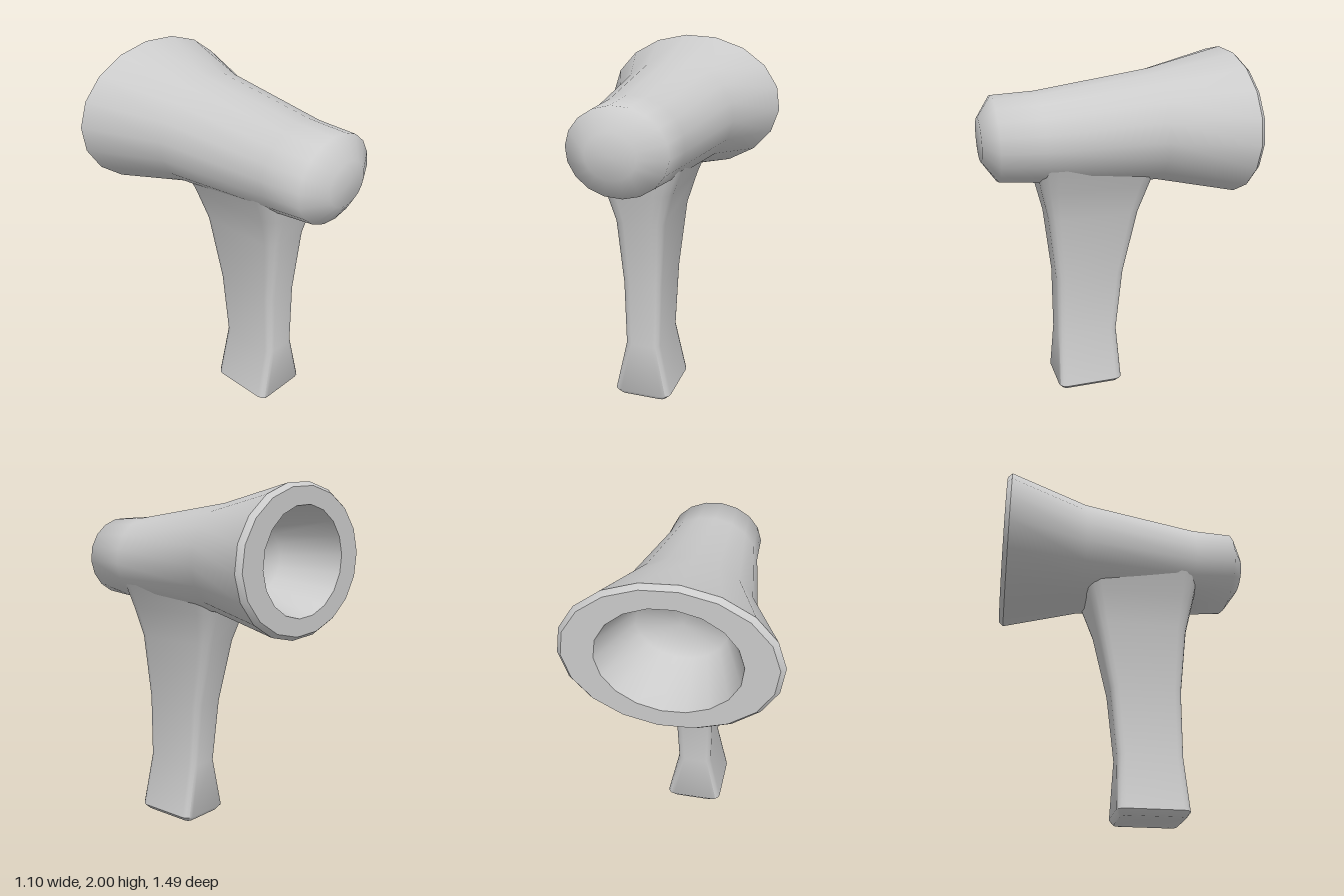
import * as THREE from 'three';
import { toCreasedNormals } from 'three/addons/utils/BufferGeometryUtils.js';

const material = new THREE.MeshStandardMaterial({ color: 0xcccccc });

// Skin a list of equal-length rings, each running counter-clockwise about the path
function loft(name, rings, crease) {
  const n = rings[0].length, index = [];
  for (let r = 0; r < rings.length - 1; r++) {
    for (let i = 0; i < n; i++) {
      const j = (i + 1) % n;
      const a = r * n + i, b = r * n + j, c = a + n, d = b + n;
      index.push(a, b, d, a, d, c);
    }
  }
  const geometry = new THREE.BufferGeometry();
  geometry.setAttribute('position', new THREE.Float32BufferAttribute(rings.flat(2), 3));
  geometry.setIndex(index);
  const mesh = new THREE.Mesh(toCreasedNormals(geometry, crease), material);
  mesh.name = name;
  return mesh;
}

// 18-sided ellipse across the barrel
function ellipse([z, cy, rx, ry]) {
  return Array.from({ length: 18 }, (_, i) => {
    const t = THREE.MathUtils.degToRad(i * 20 - 4);
    return [rx * Math.cos(t), cy + ry * Math.sin(t), z];
  });
}

// Rounded rectangle across the handle
function roundedRect([y, cz, hw, hd, radius]) {
  const ring = [];
  const corners = [[1, 1], [1, -1], [-1, -1], [-1, 1]];
  corners.forEach(([sx, sz], k) => {
    for (let s = 0; s <= 3; s++) {
      const t = (k + s / 3) * Math.PI / 2;
      ring.push([
        sx * (hw - radius) + radius * Math.sin(t),
        y,
        cz + sz * (hd - radius) + radius * Math.cos(t),
      ]);
    }
  });
  return ring;
}

export function createModel() {
  const model = new THREE.Group();
  model.name = 'hairDryer';
  const dryer = new THREE.Group();
  dryer.name = 'turnedBody';
  dryer.rotation.y = -0.073;
  dryer.position.x = -0.05;
  model.add(dryer);

  // Barrel: z, centre height, half width, half height
  const barrel = [
    [-0.68, 1.59, 0.555, 0.412],
    [-0.24, 1.585, 0.367, 0.315],
    [0.42, 1.557, 0.282, 0.253],
    [0.655, 1.565, 0.275, 0.235],
    [0.735, 1.565, 0.137, 0.12],
    [0.738, 1.565, 0, 0],
  ];
  dryer.add(loft('barrel', barrel.map(ellipse), 1.15));

  // Bevelled rim with its flat ring
  const rim = [
    [-0.706, 1.59, 0.365, 0.295],
    [-0.706, 1.59, 0.53, 0.39],
    [-0.68, 1.59, 0.555, 0.412],
  ];
  dryer.add(loft('rim', rim.map(ellipse), 0.5));

  // Recess inside the rim
  const recess = [
    [-0.36, 1.585, 0, 0],
    [-0.38, 1.585, 0.24, 0.19],
    [-0.706, 1.59, 0.365, 0.295],
  ];
  dryer.add(loft('recess', recess.map(ellipse), 1.3));

  // Handle: y, centre z, half width, half depth, corner radius
  const handle = [
    [0, 0.16, 0, 0, 0],
    [0, 0.16, 0.14, 0.175, 0.03],
    [0.03, 0.16, 0.17, 0.197, 0.045],
    [0.34, 0.16, 0.102, 0.183, 0.04],
    [0.72, 0.14, 0.112, 0.203, 0.045],
    [1.1, 0.117, 0.14, 0.265, 0.06],
    [1.28, 0.108, 0.19, 0.315, 0.08],
    [1.42, 0.1, 0.245, 0.35, 0.1],
  ];
  dryer.add(loft('handle', handle.map(roundedRect), 0.9));

  return model;
}
